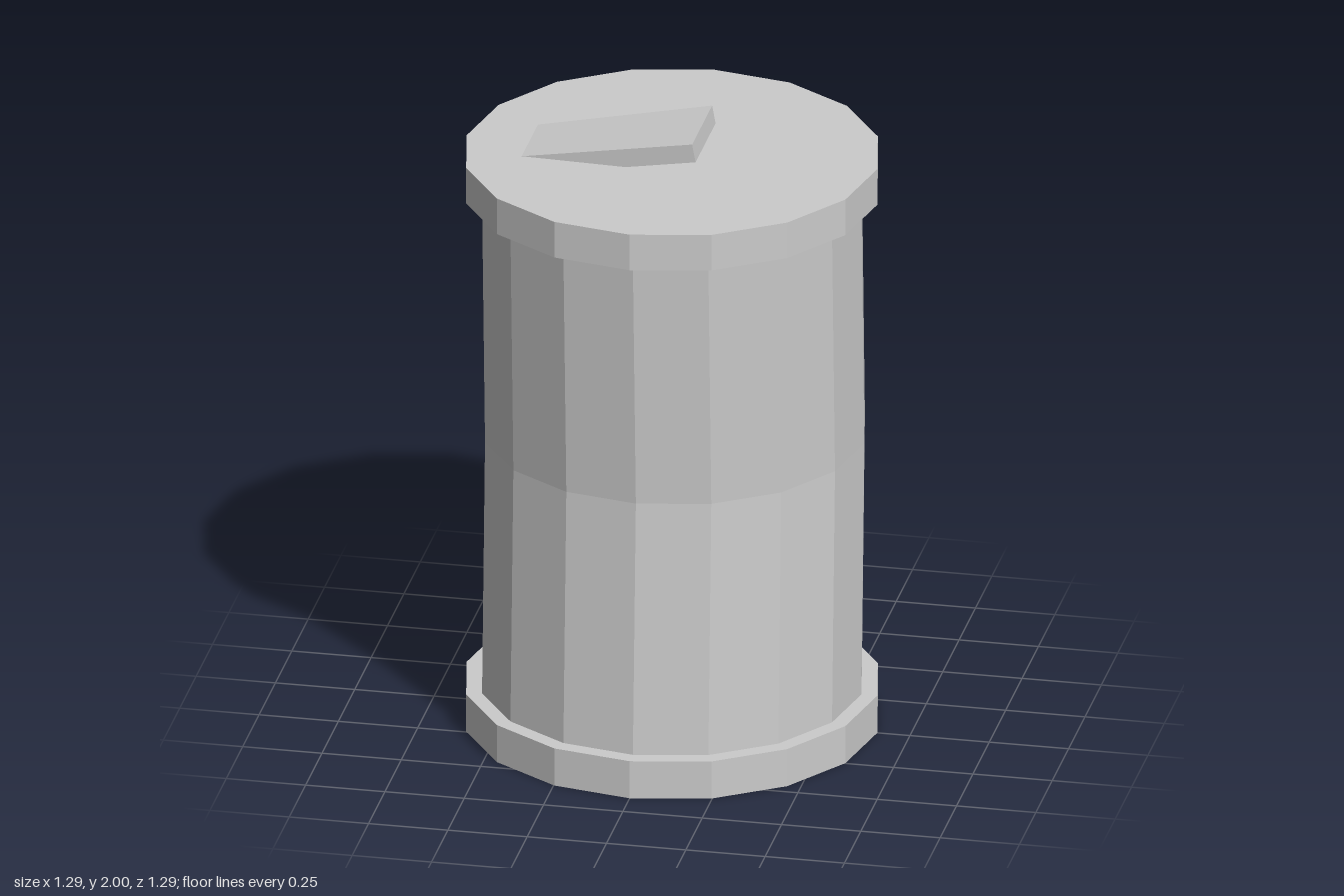
import * as THREE from 'three';

const SIDES = 16;
const RIM_RADIUS = 0.647;
const BODY_RADIUS = 0.597;

export function createModel() {
  const model = new THREE.Group();
  const material = new THREE.MeshStandardMaterial({ color: 0xcccccc, flatShading: true });

  const add = (name, geometry) => {
    geometry.computeVertexNormals();
    const mesh = new THREE.Mesh(geometry, material);
    mesh.name = name;
    model.add(mesh);
    return mesh;
  };

  // Cylinder standing between two heights
  const drum = (radius, bottom, top, rings = 1) =>
    new THREE.CylinderGeometry(radius, radius, top - bottom, SIDES, rings)
      .translate(0, (bottom + top) / 2, 0);

  // Wider rims closing both ends
  add('bottomRim', drum(RIM_RADIUS, 0, 0.125));
  add('topRim', drum(RIM_RADIUS, 1.78, 1.9));

  // Body, its middle ring pushed backwards
  const body = drum(BODY_RADIUS, 0.12, 1.785, 2);
  const bodyPos = body.attributes.position;
  for (let i = 0; i < bodyPos.count; i++) {
    if (Math.abs(bodyPos.getY(i) - 0.9525) < 0.1) bodyPos.setZ(i, bodyPos.getZ(i) - 0.045);
  }
  add('body', body);

  // Pull tab: a tapered slab, hung from its raised top edge and sunk into the lid
  const length = 0.56, thickness = 0.06;
  const tab = new THREE.BoxGeometry(length, thickness, 1);
  const tabPos = tab.attributes.position;
  for (let i = 0; i < tabPos.count; i++) {
    tabPos.setZ(i, tabPos.getZ(i) * (tabPos.getX(i) > 0 ? 0.306 : 0.248));
  }
  tab.translate(-length / 2, -thickness / 2, 0);
  const pullTab = add('pullTab', tab);
  pullTab.position.set(0.095, 2, 0);
  pullTab.rotation.z = 0.182;

  return model;
}
